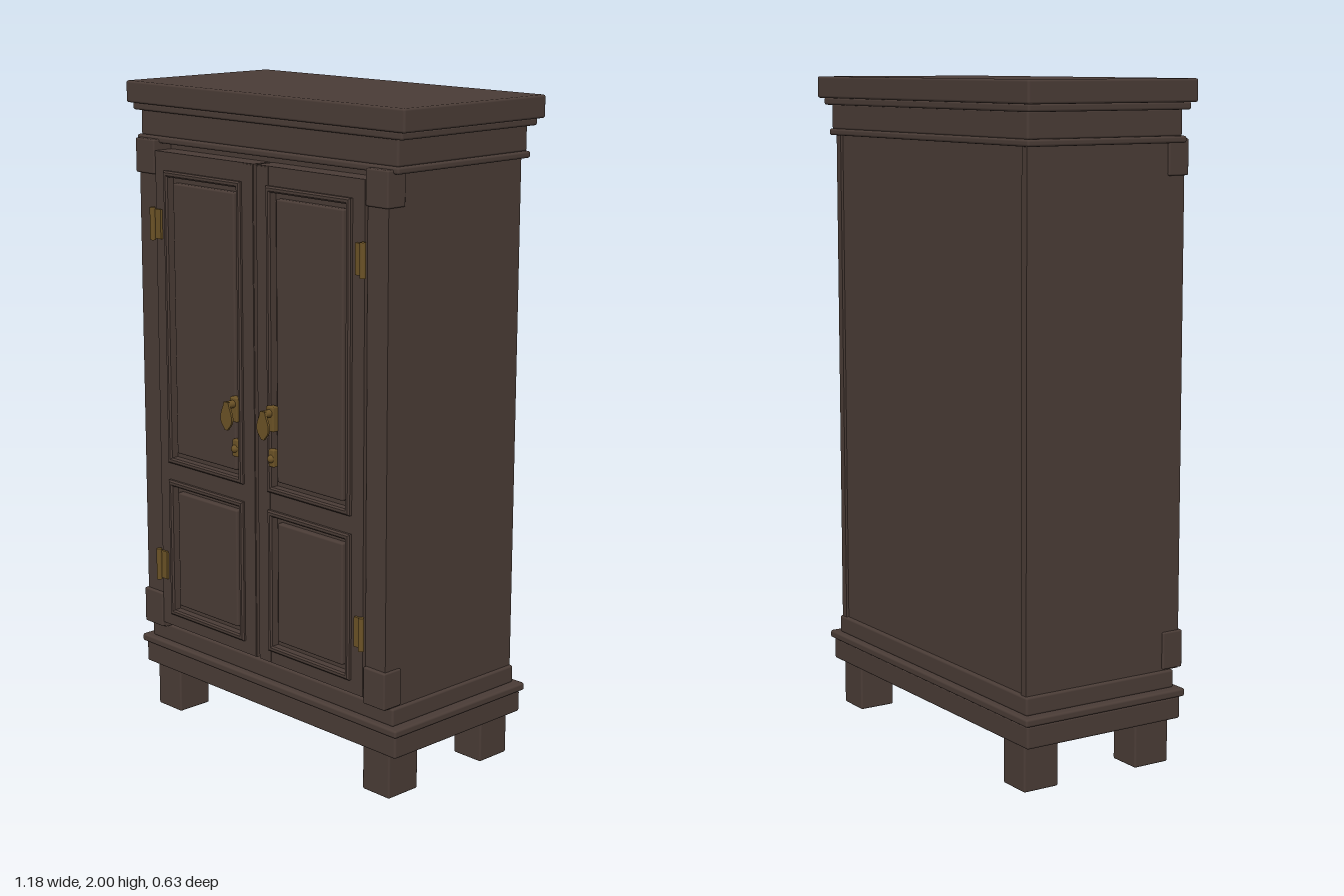
import * as THREE from 'three';
import { RoundedBoxGeometry } from 'three/addons/geometries/RoundedBoxGeometry.js';

const wood = new THREE.MeshStandardMaterial({ color: 0x4a3c36 });
wood.name = 'dark wood';
const brass = new THREE.MeshStandardMaterial({ color: 0x6b5226 });
brass.name = 'aged brass';

function add(parent, name, geometry, material = wood) {
  const mesh = new THREE.Mesh(geometry, material);
  mesh.name = name;
  parent.add(mesh);
  return mesh;
}

// Box given by its limits on each axis, with slightly softened edges if r > 0
function block(parent, name, [x0, x1], [y0, y1], [z0, z1], r = 0, material = wood) {
  const size = [x1 - x0, y1 - y0, z1 - z0];
  const geometry = r ? new RoundedBoxGeometry(...size, 2, r) : new THREE.BoxGeometry(...size);
  const mesh = add(parent, name, geometry, material);
  mesh.position.set((x0 + x1) / 2, (y0 + y1) / 2, (z0 + z1) / 2);
  return mesh;
}

// Rectangle outline as a Shape or, for holes, a Path
function rect(Type, [x0, x1], [y0, y1]) {
  return new Type([[x0, y0], [x1, y0], [x1, y1], [x0, y1]].map(p => new THREE.Vector2(...p)));
}

// Flat board with rectangular openings, from z0 to z1
function frame(parent, name, xs, ys, holes, z0, z1, bevel = 0) {
  const shape = rect(THREE.Shape, xs, ys);
  holes.forEach(([hx, hy]) => shape.holes.push(rect(THREE.Path, hx, hy)));
  const geometry = new THREE.ExtrudeGeometry(shape, {
    depth: z1 - z0 - bevel, bevelEnabled: bevel > 0, bevelThickness: bevel,
    bevelSize: bevel, bevelOffset: -bevel, bevelSegments: 1,
  });
  add(parent, name, geometry).position.z = z0;
}

// Limits mirrored to the given side
const mir = (s, a, b) => (s > 0 ? [a, b] : [-b, -a]);

function buildDoor(s) {
  const door = new THREE.Group();
  door.name = s > 0 ? 'leftDoor' : 'rightDoor';
  const panels = [[0.84, 1.745], [0.345, 0.785]];
  const inset = (ys, d) => [ys[0] + d, ys[1] - d];
  const openX = mir(s, 0.066, 0.389);
  frame(door, 'doorFrame', mir(s, 0.006, 0.447), [0.305, 1.8],
    panels.map(ys => [openX, inset(ys, 0.011)]), 0.2, 0.265);
  // Raised strips on the inner stile and panel mouldings
  block(door, 'meetingStile', mir(s, 0.008, 0.058), [0.308, 1.797], [0.24, 0.267]);
  for (const ys of panels) {
    frame(door, 'panelMoulding', mir(s, 0.055, 0.4), ys,
      [[mir(s, 0.073, 0.382), inset(ys, 0.018)]], 0.24, 0.278, 0.005);
    block(door, 'panelBed', openX, inset(ys, 0.011), [0.21, 0.25]);
    block(door, 'raisedPanel', mir(s, 0.09, 0.365), inset(ys, 0.035), [0.235, 0.268], 0.006);
  }
  // Hinges with a knuckle and one leaf
  for (const y of [0.5, 1.58]) {
    block(door, 'hingeLeaf', mir(s, 0.418, 0.447), [y - 0.045, y + 0.045], [0.26, 0.273], 0, brass);
    add(door, 'hingeKnuckle', new THREE.CylinderGeometry(0.009, 0.009, 0.1, 12), brass)
      .position.set(s * 0.451, y, 0.276);
  }
  // Handle: back plate, stem and hanging drop
  const x = s * 0.08;
  block(door, 'handlePlate', [x - 0.016, x + 0.016], [1.03, 1.105], [0.262, 0.287], 0.004, brass);
  const stem = add(door, 'handleStem', new THREE.CylinderGeometry(0.012, 0.012, 0.045, 12), brass);
  stem.rotation.x = Math.PI / 2;
  stem.position.set(x, 1.085, 0.288);
  const shape = new THREE.Shape();
  shape.moveTo(-0.01, 1.095);
  shape.lineTo(0.01, 1.095);
  shape.bezierCurveTo(0.013, 1.075, 0.025, 1.065, 0.025, 1.045);
  shape.bezierCurveTo(0.025, 1.025, 0.01, 1.02, 0.006, 1.01);
  shape.lineTo(-0.006, 1.01);
  shape.bezierCurveTo(-0.01, 1.02, -0.025, 1.025, -0.025, 1.045);
  shape.bezierCurveTo(-0.025, 1.065, -0.013, 1.075, -0.01, 1.095);
  add(door, 'handleDrop', new THREE.ExtrudeGeometry(shape, { depth: 0.007, bevelEnabled: false }), brass)
    .position.set(x, 0, 0.308);
  // Keyhole cover
  block(door, 'keyholePlate', [x - 0.012, x + 0.012], [0.922, 0.975], [0.262, 0.282], 0.004, brass);
  const knob = add(door, 'keyholeKnob', new THREE.SphereGeometry(0.012, 12, 8), brass);
  knob.position.set(x, 0.947, 0.281);
  return door;
}

export function createModel() {
  const model = new THREE.Group();
  model.name = 'wardrobe';

  // Stacked mouldings: name, half width, y limits, z limits
  const layers = [
    ['plinth', 0.56, [0.14, 0.208], [-0.295, 0.245]],
    ['plinthBead', 0.57, [0.208, 0.232], [-0.305, 0.255]],
    ['baseRail', 0.54, [0.23, 0.285], [-0.285, 0.235]],
    ['friezeBead', 0.555, [1.82, 1.84], [-0.293, 0.247]],
    ['frieze', 0.545, [1.838, 1.917], [-0.288, 0.238]],
    ['corniceBead', 0.57, [1.913, 1.936], [-0.302, 0.25]],
    ['corniceTop', 0.588, [1.934, 2], [-0.315, 0.26]],
  ];
  for (const [name, w, ys, zs] of layers) block(model, name, [-w, w], ys, zs, 0.007);

  // Carcass with a slightly sunken back
  block(model, 'carcass', [-0.525, 0.525], [0.28, 1.825], [-0.272, 0.2]);

  for (const s of [1, -1]) {
    block(model, 'sidePanel', mir(s, 0.505, 0.53), [0.28, 1.825], [-0.28, 0.2]);
    // Corner pilaster with base and capital blocks
    block(model, 'pilaster', mir(s, 0.45, 0.53), [0.285, 1.825], [0.195, 0.257]);
    block(model, 'pilasterBase', mir(s, 0.45, 0.537), [0.288, 0.4], [0.198, 0.268], 0.005);
    block(model, 'pilasterCapital', mir(s, 0.45, 0.537), [1.728, 1.832], [0.198, 0.268], 0.005);
    for (const zs of [[0.11, 0.23], [-0.28, -0.163]]) {
      block(model, 'foot', mir(s, 0.413, 0.522), [0, 0.15], zs, 0.006);
    }
    model.add(buildDoor(s));
  }
  return model;
}
